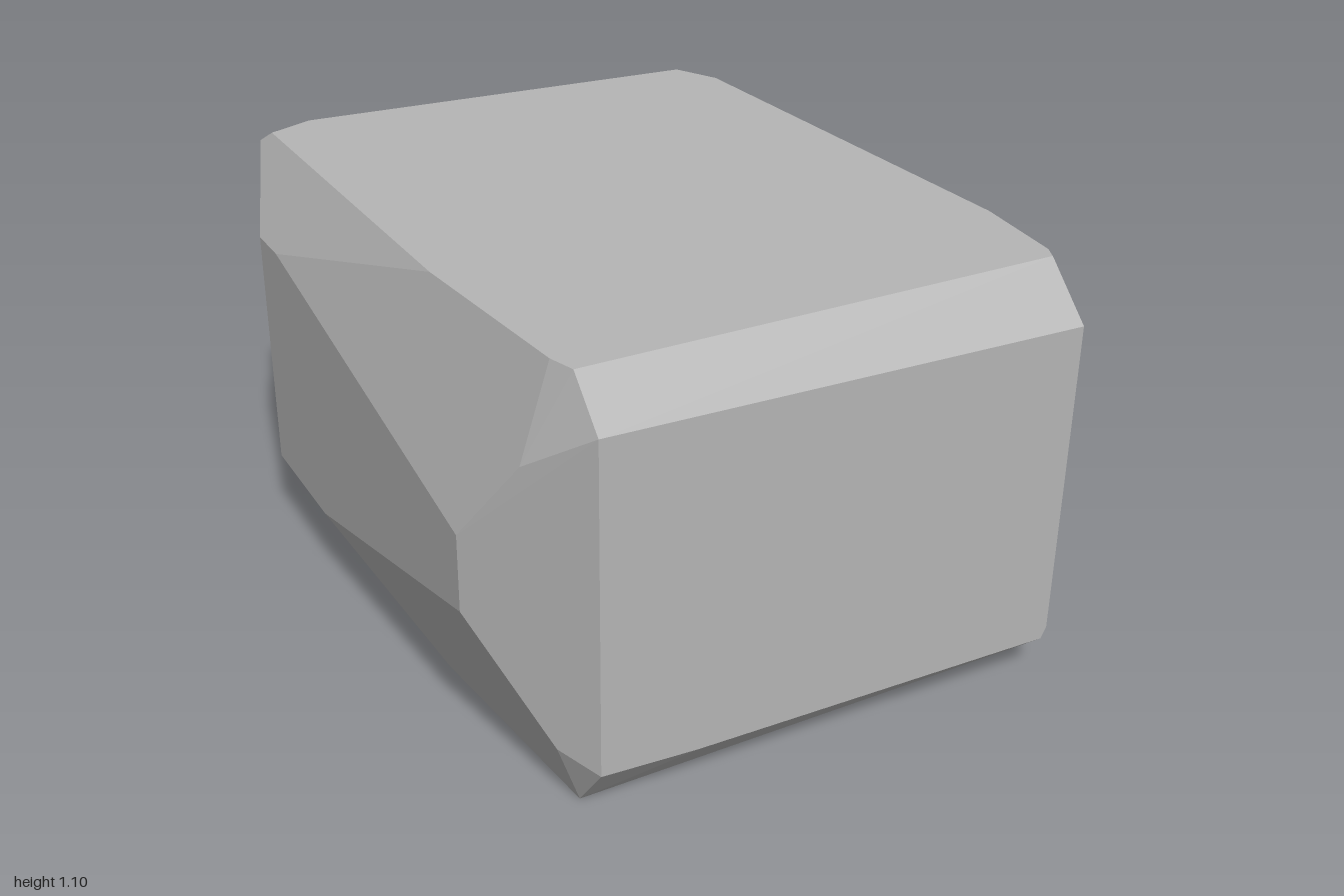
import * as THREE from 'three';
import { ConvexGeometry } from 'three/addons/geometries/ConvexGeometry.js';

export function createModel() {
  const group = new THREE.Group();
  const stone = new THREE.MeshStandardMaterial({ color: 0xb5b5b5 });
  stone.name = 'grey stone';

  const H = 1.1;
  const points = [];
  const add = (x, y, z) => points.push(new THREE.Vector3(x, y, z));

  // corners shared by the upper and lower halves
  const mirrored = [
    [0.79, 0.95, 0.13], [0.79, 0.95, -0.81], [0.79, 0.845, -0.94], // right side
    [0.73, H, 0.56], [0.73, H, -0.78], [0.69, H, 0.83], // right rim
    [0.67, 1.045, -1], [0.67, H, -0.92], [-0.53, 1.07, -1], // back rim
    [-0.53, H, -0.96], [-0.66, H, -0.9], [-0.68, 1.067, -0.95],
    [-0.79, 0.89, -0.66], [-0.66, H, 0.27], // left side
  ];
  for (const [x, y, z] of mirrored) {
    add(x, y, z);
    add(x, H - y, z);
  }

  // upper front and left corners
  add(0.67, 0.97, 1);
  add(0.67, H, 0.87);
  add(-0.6, 0.99, 1);
  add(-0.6, H, 0.89);
  add(-0.62, H, 0.82);
  add(-0.7, 0.87, 0.83);
  add(-0.79, 0.65, 0.68);
  add(-0.79, 0.89, -0.52);
  add(-0.66, 1.01, -1);

  // lower front and left corners
  add(0.67, 0.135, 1);
  add(0.655, 0.105, 1);
  add(0.655, 0, 0.88);
  add(-0.35, 0.125, 1);
  add(-0.6, 0.14, 1);
  add(-0.6, 0, 0.89);
  add(-0.66, 0.17, 0.9);
  add(-0.79, 0.45, 0.68);
  add(-0.79, 0.21, -0.28);
  add(-0.66, 0.05, -1);

  // faceted block of stone
  const block = new THREE.Mesh(new ConvexGeometry(points), stone);
  block.name = 'stoneBlock';
  group.add(block);
  return group;
}
